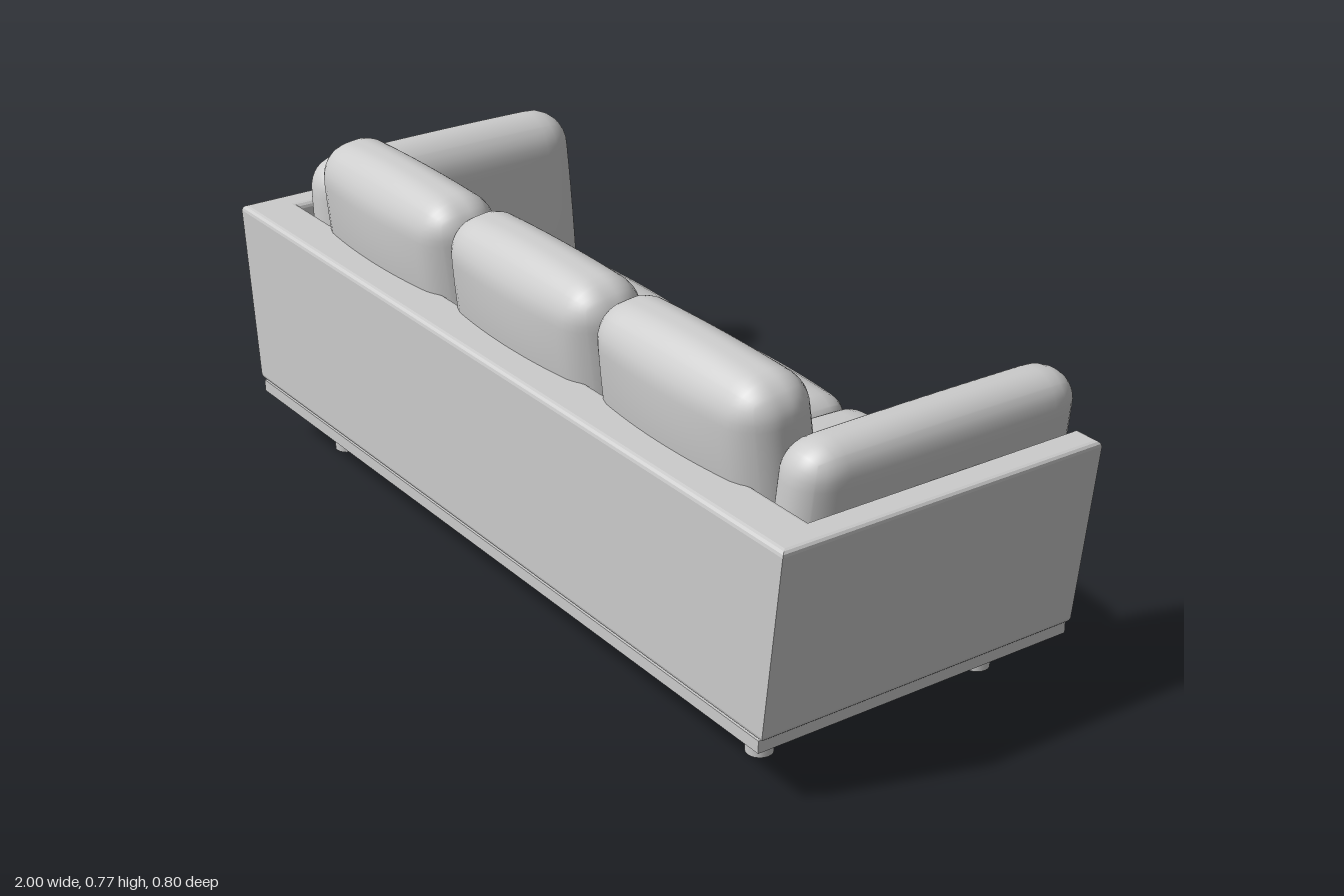
import * as THREE from 'three';
import { mergeVertices } from 'three/addons/utils/BufferGeometryUtils.js';

const material = new THREE.MeshStandardMaterial({ color: 0xcccccc });

function add(parent, name, geometry, x = 0, y = 0, z = 0) {
  const mesh = new THREE.Mesh(geometry, material);
  mesh.name = name;
  mesh.position.set(x, y, z);
  parent.add(mesh);
  return mesh;
}

// Rounded box with edge radius r whose faces swell by bulge = [x, y, z]
function cushion(w, h, d, r, bulge, n = 24) {
  const g = new THREE.BoxGeometry(w, h, d, n, n, n);
  g.deleteAttribute('uv');
  g.deleteAttribute('normal');
  const merged = mergeVertices(g, 1e-5);
  const pos = merged.attributes.position;
  const half = new THREE.Vector3(w / 2, h / 2, d / 2);
  const inner = half.clone().subScalar(r);
  const p = new THREE.Vector3(), c = new THREE.Vector3();
  for (let i = 0; i < pos.count; i++) {
    p.fromBufferAttribute(pos, i);
    c.copy(p).clamp(inner.clone().negate(), inner);
    p.sub(c).setLength(r).add(c);
    const u = p.clone().divide(half);
    const [fx, fy, fz] = [1 - u.x * u.x, 1 - u.y * u.y, 1 - u.z * u.z];
    p.x += u.x * bulge[0] * fy * fz;
    p.y += u.y * bulge[1] * fx * fz;
    p.z += u.z * bulge[2] * fx * fy;
    pos.setXYZ(i, p.x, p.y, p.z);
  }
  merged.computeVertexNormals();
  return merged;
}

// Moves x of every vertex by a rule of (x, y)
function reshapeX(g, rule) {
  const pos = g.attributes.position;
  for (let i = 0; i < pos.count; i++) pos.setX(i, rule(pos.getX(i), pos.getY(i)));
  g.computeVertexNormals();
  return g;
}

export function createModel() {
  const sofa = new THREE.Group();
  sofa.name = 'sofa';

  // U-shaped shell: back wall at +z, two arms, flaring outwards to the top
  const b = 0.012, bottom = 0.145, top = 0.56;
  const X = 1 - b, xi = 0.93 + b, zBack = 0.4 - b, zIn = 0.29 + b, zFront = -0.355 + b;
  const plan = new THREE.Shape([
    [-X, -zBack], [X, -zBack], [X, -zFront], [xi, -zFront],
    [xi, -zIn], [-xi, -zIn], [-xi, -zFront], [-X, -zFront],
  ].map(([x, y]) => new THREE.Vector2(x, y)));
  const shell = new THREE.ExtrudeGeometry(plan, {
    depth: top - bottom - 2 * b, bevelEnabled: true,
    bevelSize: b, bevelThickness: b, bevelSegments: 3,
  });
  shell.rotateX(-Math.PI / 2);
  shell.translate(0, bottom + b, 0);
  reshapeX(shell, (x, y) => x * (0.95 + 0.05 * (y - bottom) / (top - bottom)));
  add(sofa, 'shell', shell);

  // Seat platform, plinth and legs
  add(sofa, 'seatPlatform', new THREE.BoxGeometry(1.8, 0.06, 0.7), 0, 0.176, -0.002);
  add(sofa, 'plinth', new THREE.BoxGeometry(1.88, 0.027, 0.752), 0, 0.1325, 0.023);
  for (const x of [-0.785, 0.785]) {
    for (const z of [0.275, -0.268]) {
      add(sofa, 'leg', new THREE.CylinderGeometry(0.03, 0.028, 0.125, 20), x, 0.0625, z);
    }
  }

  // Three seat cushions and three reclined back cushions
  for (const i of [-1, 0, 1]) {
    add(sofa, 'seatCushion',
      cushion(0.525, 0.155, 0.64, 0.06, [0.006, 0.028, 0.035]), i * 0.522, 0.287, -0.045);
    const back = add(sofa, 'backCushion',
      cushion(0.53, 0.375, 0.165, 0.07, [0.008, 0.012, 0.022]), i * 0.533, 0.57, 0.222);
    back.rotation.x = 0.12;
  }

  // Arm cushions, leaning outwards with the arms
  for (const side of [-1, 1]) {
    const arm = cushion(0.145, 0.475, 0.655, 0.07, [0.004, 0.004, 0.006]);
    reshapeX(arm, (x, y) => x + side * 0.12 * y);
    add(sofa, 'armCushion', arm, side * 0.84, 0.438, -0.047);
  }
  return sofa;
}
